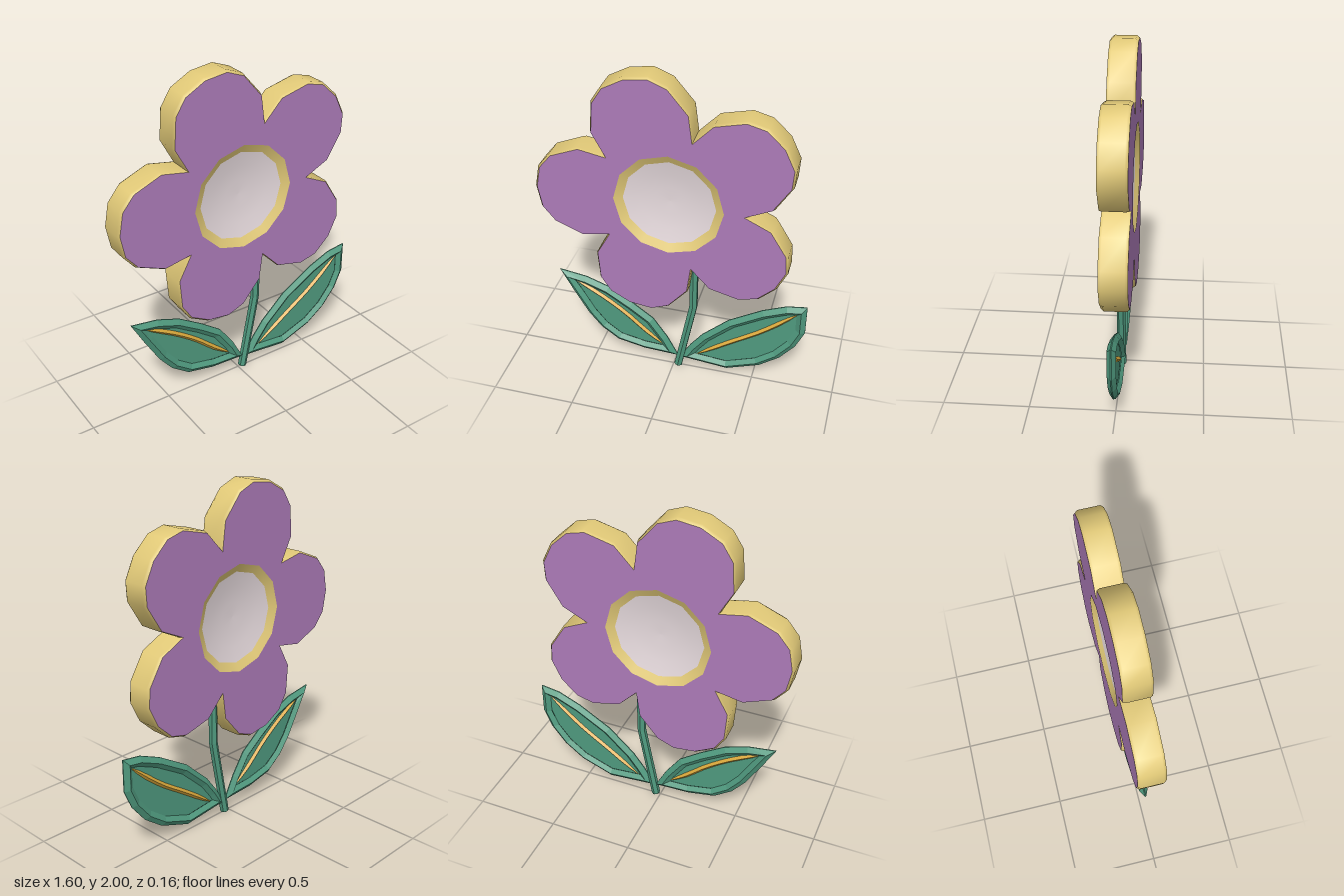
import * as THREE from 'three';

const material = (name, color, extra = {}) => {
  const m = new THREE.MeshStandardMaterial({ color, ...extra });
  m.name = name;
  return m;
};

// Surface through equal-length rings of Vector3, listed front to back
function loft(rings, closed) {
  const n = rings[0].length;
  const index = [];
  for (let j = 0; j < rings.length - 1; j++) {
    for (let i = 0; i < (closed ? n : n - 1); i++) {
      const k = (i + 1) % n;
      const a = j * n + i, b = a + n, c = (j + 1) * n + k, d = j * n + k;
      index.push(a, b, c, a, c, d);
    }
  }
  const g = new THREE.BufferGeometry().setFromPoints(rings.flat());
  g.setIndex(index);
  g.computeVertexNormals();
  return g;
}

// Move a counter-clockwise outline inward by a constant distance
function inset(points, distance) {
  const n = points.length;
  const normal = (a, b) => new THREE.Vector2(a.y - b.y, b.x - a.x).normalize();
  return points.map((p, i) => {
    const n1 = normal(points[(i + n - 1) % n], p);
    const n2 = normal(p, points[(i + 1) % n]);
    const dir = n1.clone().add(n2).normalize();
    return p.clone().addScaledVector(dir, distance * Math.min(1 / dir.dot(n1), 2));
  });
}

export function createModel() {
  const purple = material('petal purple', 0xac7bb8);
  const gold = material('petal edge gold', 0xe2ca78);
  const cream = material('centre white', 0xe6dadd);
  const green = material('leaf green', 0x4f997e, { flatShading: true, side: THREE.DoubleSide });
  const amber = material('vein amber', 0xdcaa3c, { flatShading: true });

  const root = new THREE.Group();
  const add = (parent, name, geometry, mat) => {
    const mesh = new THREE.Mesh(geometry, mat);
    mesh.name = name;
    parent.add(mesh);
    return mesh;
  };

  // Blossom: five petals around one centre
  const blossom = new THREE.Group();
  blossom.name = 'blossom';
  blossom.position.set(-0.013, 1.237, 0);
  root.add(blossom);

  const half = [[0, 0.443], [7, 0.597], [18.2, 0.722], [26, 0.77], [36, 0.783]];
  const petal = [...half, ...half.slice(0, 4).reverse().map(([a, r]) => [72 - a, r])];
  const petalPoints = (k, shrink) => petal.map(([a, r]) => {
    const t = THREE.MathUtils.degToRad(a + 72 * k);
    return new THREE.Vector2(Math.cos(t), Math.sin(t)).multiplyScalar(r - shrink);
  });

  // Rounded petal edges, creased only at the notches
  const depth = 0.078, bevel = 0.013;
  const edgeProfile = [[bevel, depth], [0, 0.062], [0, -0.062], [bevel, -depth]];
  for (let k = 0; k < 5; k++) {
    const rings = edgeProfile.map(([s, z]) =>
      petalPoints(k, s).map(p => new THREE.Vector3(p.x, p.y, z)));
    add(blossom, 'petalEdge', loft(rings, false), gold);
  }

  // Both faces: petals with a twelve-sided shallow bowl in the middle
  const outline = [0, 1, 2, 3, 4].flatMap(k => petalPoints(k, bevel).slice(0, -1));
  const shape = new THREE.Shape(outline);
  const hole = Array.from({ length: 12 }, (_, i) => {
    const t = -i * Math.PI / 6;
    return new THREE.Vector2(Math.cos(t) * 0.317, Math.sin(t) * 0.317);
  });
  shape.holes.push(new THREE.Path(hole));
  const faceGeo = new THREE.ShapeGeometry(shape).translate(0, 0, depth);
  const bowl = profile => new THREE.LatheGeometry(
    profile.map(([r, z]) => new THREE.Vector2(r, z)), 12).rotateX(Math.PI / 2);
  const rimGeo = bowl([[0.317, depth], [0.268, 0.053]]);
  const centreGeo = bowl([[0.268, 0.053], [0.18, 0.035], [0.09, 0.025], [0, 0.022]]);
  for (const [name, turn] of [['frontFace', 0], ['backFace', Math.PI]]) {
    const side = new THREE.Group();
    side.name = name;
    side.rotation.x = turn;
    add(side, 'petals', faceGeo, purple);
    add(side, 'centreRim', rimGeo, gold);
    add(side, 'centreBowl', centreGeo, cream);
    blossom.add(side);
  }

  // Bent stem, straight on both sides of the bend
  const stemCurve = new THREE.CatmullRomCurve3([
    new THREE.Vector3(0.03, 0.006, 0),
    new THREE.Vector3(0.122, 0.49, 0),
    new THREE.Vector3(0.125, 0.88, 0),
  ], false, 'catmullrom', 0);
  add(root, 'stem', new THREE.TubeGeometry(stemCurve, 16, 0.026, 6), green);
  const cap = add(root, 'stemEnd', new THREE.CircleGeometry(0.026, 6), green);
  cap.position.set(0.03, 0.006, 0);
  cap.rotation.set(Math.PI / 2, -0.19, 0);

  // Leaves: ridged rim, flat blade and a tapered vein
  function leaf(name, points, veinPoints) {
    const group = new THREE.Group();
    group.name = name;
    root.add(group);
    const edge = points.map(([x, y]) => new THREE.Vector2(x, y)).reverse();

    const section = [[0.058, 0.004], [0.03, 0.025], [0, 0.003],
      [0, -0.003], [0.03, -0.025], [0.058, -0.004]];
    const rings = section.map(([d, z]) =>
      inset(edge, d).map(p => new THREE.Vector3(p.x, p.y, z)));
    add(group, 'leafRim', loft(rings, true), green);
    add(group, 'leafBlade', new THREE.ShapeGeometry(new THREE.Shape(inset(edge, 0.055))), green);

    const curve = new THREE.CatmullRomCurve3(veinPoints.map(([x, y]) => new THREE.Vector3(x, y, 0)));
    const steps = 10, sides = 4;
    const vein = new THREE.TubeGeometry(curve, steps, 0.015, sides);
    const pos = vein.attributes.position;
    for (let i = 0; i <= steps; i++) {
      const c = curve.getPointAt(i / steps);
      const taper = Math.min(1, 3 * Math.min(i, steps - i) / steps + (i % steps ? 0.4 : 0));
      for (let j = 0; j <= sides; j++) {
        const id = i * (sides + 1) + j;
        const p = new THREE.Vector3().fromBufferAttribute(pos, id).sub(c).multiplyScalar(taper).add(c);
        pos.setXYZ(id, p.x, p.y, p.z);
      }
    }
    add(group, 'leafVein', vein, amber);
  }

  leaf('rightLeaf',
    [[-0.72, 0.605], [-0.55, 0.58], [-0.41, 0.53], [-0.26, 0.435], [-0.13, 0.34], [-0.04, 0.21],
      [0.03, 0.075], [-0.19, 0.085], [-0.36, 0.12], [-0.47, 0.2], [-0.55, 0.3], [-0.64, 0.456]],
    [[-0.645, 0.55], [-0.47, 0.456], [-0.31, 0.345], [-0.18, 0.23], [-0.055, 0.133]]);
  leaf('leftLeaf',
    [[0.8, 0.628], [0.8, 0.435], [0.75, 0.32], [0.66, 0.207], [0.54, 0.117], [0.34, 0.042],
      [0.04, 0.07], [0.11, 0.186], [0.18, 0.28], [0.34, 0.43], [0.54, 0.55], [0.68, 0.61]],
    [[0.755, 0.568], [0.54, 0.385], [0.35, 0.255], [0.14, 0.106]]);

  return root;
}
